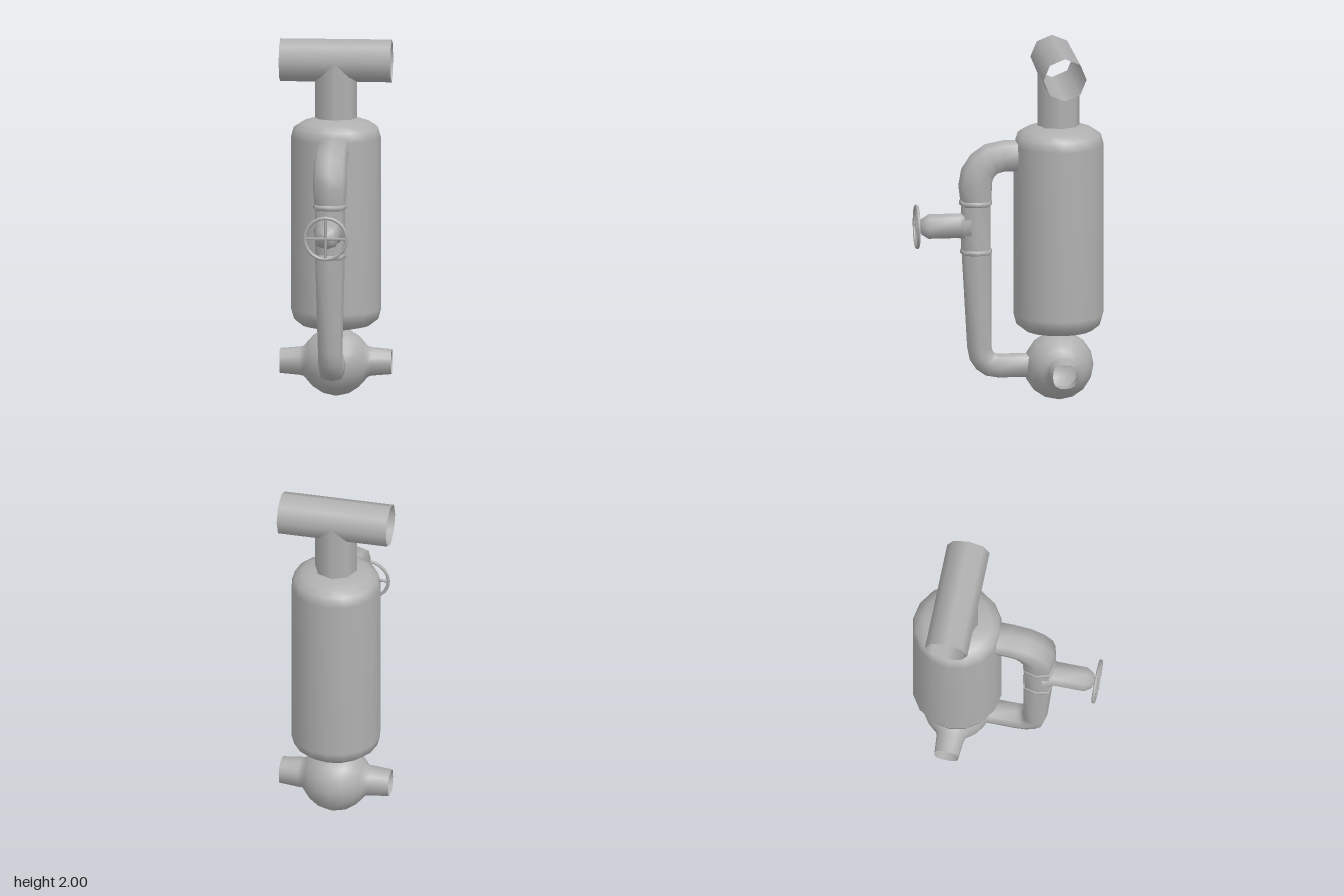
import * as THREE from 'three';

const AXIS_Z = -0.275; // tank, tee and ball share this centre line
const metal = new THREE.MeshStandardMaterial({ color: 0xb0b0b0, side: THREE.DoubleSide });
metal.name = 'grey metal';

// Slightly squared eight-sided tube; each section is [z, y, heading in degrees, radius]
// heading 0 points to +z, 90 points up
function sweep(sections, squareness = 0.13) {
  const N = 8, pos = [], idx = [];
  sections.forEach(([z, y, deg, r], i) => {
    const tz = Math.cos(deg * Math.PI / 180), ty = Math.sin(deg * Math.PI / 180);
    for (let j = 0; j < N; j++) {
      const a = j / N * Math.PI * 2;
      const k = r * (1 + squareness * Math.sin(2 * a) ** 2);
      const n = k * Math.sin(a);
      pos.push(k * Math.cos(a), y + n * tz, z - n * ty);
      if (i < sections.length - 1) {
        const p = i * N + j, q = i * N + (j + 1) % N;
        idx.push(p, q, p + N, q, q + N, p + N);
      }
    }
  });
  const g = new THREE.BufferGeometry();
  g.setAttribute('position', new THREE.Float32BufferAttribute(pos, 3));
  g.setIndex(idx);
  g.computeVertexNormals();
  return g;
}

const lathe = (pts, sides) =>
  new THREE.LatheGeometry(pts.map(([r, y]) => new THREE.Vector2(r, y)), sides);

export function createModel() {
  const model = new THREE.Group();
  model.name = 'pipeAssembly';
  const add = (name, geo, x = 0, y = 0, z = 0, parent = model) => {
    const m = new THREE.Mesh(geo, metal);
    m.name = name;
    m.position.set(x, y, z);
    parent.add(m);
    return m;
  };

  // Tank with rounded shoulders
  add('tank', lathe([[0, 0.38], [0.1, 0.38], [0.19, 0.4], [0.235, 0.435], [0.25, 0.49],
    [0.25, 1.45], [0.235, 1.505], [0.19, 1.535], [0.115, 1.56], [0, 1.56]], 16), 0, 0, AXIS_Z);

  // Open cross pipe at the top
  const cross = new THREE.CylinderGeometry(0.12, 0.12, 0.62, 8, 1, true);
  cross.rotateZ(Math.PI / 2);
  add('topCrossPipe', cross, 0, 1.88, AXIS_Z);

  // Neck, its upper rim cut to saddle the cross pipe
  const neck = new THREE.CylinderGeometry(0.118, 0.118, 0.3, 8, 1, true);
  const np = neck.attributes.position;
  for (let i = 0; i < np.count; i++) {
    const z = Math.abs(np.getZ(i));
    const saddle = z > 0.1 ? 1.88 : z > 0.05 ? 1.795 : 1.76;
    np.setY(i, np.getY(i) > 0 ? saddle : 1.55);
  }
  add('topNeck', neck, 0, 0, AXIS_Z);

  // Ball with an open arm on each side, arms squared toward their ends
  const half = [[0.067, 0.31], [0.076, 0.2], [0.087, 0.176], [0.112, 0.155], [0.145, 0.125], [0.18, 0.07]];
  const ball = lathe([...half.map(([r, y]) => [r, -y]), [0.195, 0], ...half.slice().reverse()], 16);
  const bp = ball.attributes.position;
  for (let i = 0; i < bp.count; i++) {
    if (Math.abs(bp.getY(i)) < 0.19) continue;
    const a = Math.atan2(bp.getX(i), bp.getZ(i));
    const k = 1 + 0.13 * Math.sin(2 * a) ** 2;
    bp.setX(i, bp.getX(i) * k);
    bp.setZ(i, bp.getZ(i) * k);
  }
  ball.rotateZ(-Math.PI / 2);
  add('ballJoint', ball, 0, 0.195, AXIS_Z);

  // Side pipe: upper elbow, valve body, tapered lower pipe with elbow
  add('upperElbow', sweep([[-0.08, 1.39, 0, 0.089], [0.03, 1.39, 0, 0.09], [0.1, 1.375, -22, 0.091],
    [0.15, 1.337, -45, 0.093], [0.181, 1.287, -68, 0.094], [0.19, 1.23, -90, 0.094], [0.186, 1.13, -90, 0.086]]));
  add('valveBody', sweep([[0.187, 1.13, -90, 0.083], [0.187, 0.855, -90, 0.083]]));
  add('lowerPipe', sweep([[0.183, 0.855, -90, 0.083], [0.167, 0.31, -90, 0.068], [0.157, 0.262, -112, 0.068],
    [0.135, 0.23, -135, 0.068], [0.105, 0.208, -158, 0.068], [0.06, 0.2, -180, 0.068],
    [-0.13, 0.2, -180, 0.068]]));

  // Raised collars above and below the valve
  [['upperCollar', 1.132, 0.188, 0.093], ['lowerCollar', 0.855, 0.185, 0.089]].forEach(([name, y, z, r]) =>
    add(name, sweep([[z, y + 0.016, -90, r - 0.01], [z, y + 0.009, -90, r],
      [z, y - 0.009, -90, r], [z, y - 0.016, -90, r - 0.01]])));

  // Valve stem with a flared root and pointed cap
  add('valveStem', sweep([[0.22, 1, 0, 0.09], [0.255, 1, 0, 0.08], [0.28, 1, 0, 0.07], [0.45, 1, 0, 0.07],
    [0.488, 1, 0, 0.046], [0.506, 1, 0, 0.001]], 0.06));

  // Handwheel
  const wheel = new THREE.Group();
  wheel.name = 'handwheel';
  wheel.position.set(0, 1, 0.516);
  model.add(wheel);
  add('wheelRim', new THREE.TorusGeometry(0.116, 0.0095, 6, 20), 0, 0, 0, wheel);
  for (let i = 0; i < 2; i++) {
    const spoke = add('wheelSpoke', new THREE.CylinderGeometry(0.008, 0.008, 0.232, 6), 0, 0, 0, wheel);
    spoke.rotation.z = i * Math.PI / 2;
  }
  return model;
}
